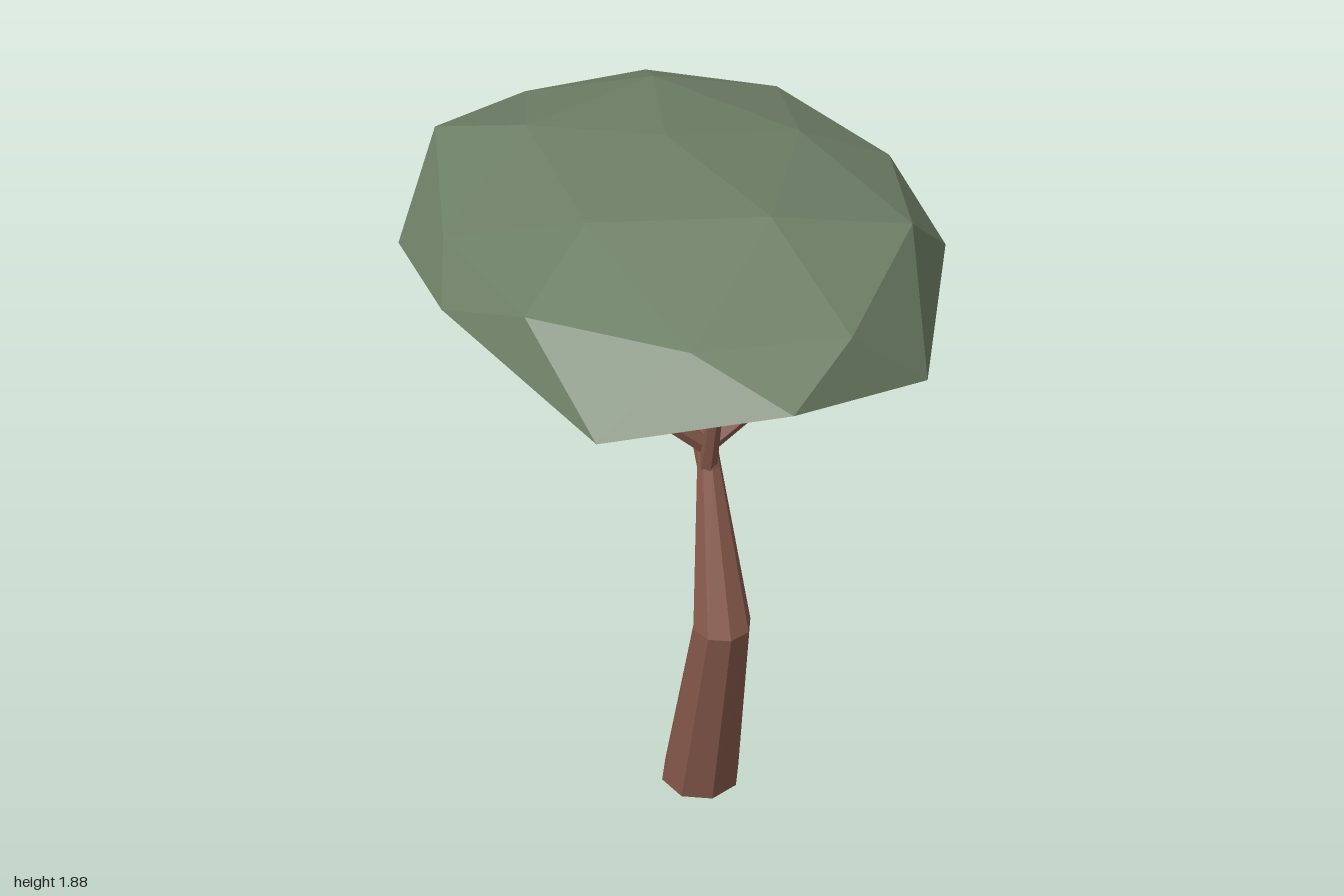
import * as THREE from 'three';

const bark = new THREE.MeshStandardMaterial({ color: 0x87594b, flatShading: true });
const leaf = new THREE.MeshStandardMaterial({ color: 0x6e7f66, flatShading: true });

function facetedMesh(name, positions, index, material) {
  const indexed = new THREE.BufferGeometry();
  indexed.setAttribute('position', new THREE.Float32BufferAttribute(positions, 3));
  indexed.setIndex(index);
  const geometry = indexed.toNonIndexed();
  geometry.computeVertexNormals();
  const mesh = new THREE.Mesh(geometry, material);
  mesh.name = name;
  return mesh;
}

// Tapered limb through points [x, y, z, radius], mitred at each bend
function limb(name, points, sides, flatBase = false) {
  const up = new THREE.Vector3(0, 1, 0);
  const centers = points.map(([x, y, z]) => new THREE.Vector3(x, y, z));
  const last = points.length - 1;
  const direction = (i) => centers[i + 1].clone().sub(centers[i]).normalize();
  const positions = [], index = [];
  points.forEach((p, i) => {
    const tangent = direction(Math.min(i, last - 1));
    if (i > 0 && i < last) tangent.add(direction(i - 1)).normalize();
    if (i === 0 && flatBase) tangent.copy(up);
    const turn = new THREE.Quaternion().setFromUnitVectors(up, tangent);
    for (let s = 0; s < sides; s++) {
      const a = (s / sides) * Math.PI * 2;
      const v = new THREE.Vector3(Math.sin(a) * p[3], 0, Math.cos(a) * p[3]);
      positions.push(...v.applyQuaternion(turn).add(centers[i]).toArray());
    }
  });
  for (let i = 0; i < last; i++) {
    for (let s = 0; s < sides; s++) {
      const a = i * sides + s, b = i * sides + (s + 1) % sides;
      index.push(a, b, b + sides, a, b + sides, a + sides);
    }
  }
  // End caps
  for (let s = 1; s < sides - 1; s++) {
    const t = last * sides;
    index.push(0, s + 1, s, t, t + s, t + s + 1);
  }
  return facetedMesh(name, positions, index, bark);
}

// Closed crown: a domed top and a shallower hollow underside sharing a ten-point rim
function canopy() {
  const positions = [], index = [];
  const ring = (radius, startDeg, heights) => {
    const first = positions.length / 3, n = heights.length;
    heights.forEach((y, i) => {
      const a = THREE.MathUtils.degToRad(startDeg + (i * 360) / n);
      positions.push(Math.sin(a) * radius * 0.682, y, Math.cos(a) * radius);
    });
    return (i) => first + (i % n);
  };
  const rim = ring(1, 0, [1.67, 1.57, 1.62, 1.49, 1.56, 1.47, 1.57, 1.495, 1.65, 1.545]);

  // One five-fold skin; rimStart is the first rim point beside its first outer point
  const skin = (startDeg, rimStart, poleY, innerY, outerY, betweenY, facesDown) => {
    const pole = ring(0, 0, [poleY])(0);
    const inner = ring(0.526, startDeg, innerY);
    const outer = ring(0.894, startDeg, outerY);
    const between = ring(0.851, startDeg + 36, betweenY);
    for (let k = 0; k < 5; k++) {
      const i0 = inner(k), i1 = inner(k + 1), o0 = outer(k), o1 = outer(k + 1), m = between(k);
      const [r0, r1, r2] = [0, 1, 2].map((j) => rim(rimStart + 2 * k + j));
      const faces = [
        [pole, i0, i1], [i0, m, i1], [i0, o0, m], [i1, m, o1],
        [o0, r0, r1], [o0, r1, m], [m, r1, r2], [m, r2, o1],
      ];
      for (const [a, b, c] of faces) index.push(a, ...(facesDown ? [c, b] : [b, c]));
    }
  };
  skin(18, 0, 1.87, [1.885, 1.83, 1.79, 1.79, 1.83], [1.75, 1.725, 1.64, 1.71, 1.73],
    [1.81, 1.71, 1.64, 1.67, 1.75], false);
  skin(54, 1, 1.77, [1.75, 1.71, 1.66, 1.71, 1.75], [1.67, 1.60, 1.55, 1.61, 1.67],
    [1.60, 1.56, 1.59, 1.66, 1.67], true);
  // Keep the left rear shoulder of the top low
  return facetedMesh('canopy', positions, index, leaf);
}

export function createModel() {
  const tree = new THREE.Group();
  tree.name = 'tree';

  tree.add(limb('trunk', [
    [0.003, 0, 0.345, 0.115], [0.005, 0.685, 0.51, 0.079], [0.005, 1.11, 0.378, 0.032], [0.003, 1.18, 0.37, 0.024],
  ], 8, true));

  // Main branches, then the twigs that split from them
  const branches = {
    frontBranch: [[0, 1.1, 0.38, 0.025], [0, 1.49, 0.49, 0.014], [0, 1.6, 0.6, 0.012], [0, 1.7, 0.66, 0.005]],
    middleBranch: [[0, 1.13, 0.37, 0.03], [0.005, 1.47, 0.305, 0.021], [0.005, 1.6, 0.21, 0.013], [0.005, 1.77, 0.16, 0.005]],
    rearBranch: [[0, 1.11, 0.37, 0.026], [0, 1.38, 0.1, 0.018], [0.01, 1.56, -0.03, 0.014], [0.01, 1.7, -0.1, 0.005]],
    leftBranch: [[0, 1.17, 0.37, 0.026], [0.17, 1.29, 0.365, 0.021], [0.25, 1.46, 0.365, 0.015], [0.29, 1.6, 0.37, 0.01], [0.31, 1.73, 0.37, 0.004]],
    rightBranch: [[0, 1.17, 0.37, 0.026], [-0.34, 1.47, 0.365, 0.014], [-0.38, 1.57, 0.37, 0.011], [-0.41, 1.7, 0.37, 0.004]],
  };
  const twigs = {
    rearTwig: [[0, 1.38, 0.1, 0.012], [0, 1.47, 0.135, 0.01], [0.01, 1.72, 0.135, 0.004]],
    middleTwig: [[0.005, 1.46, 0.305, 0.014], [0.01, 1.6, 0.27, 0.01], [0.015, 1.76, 0.26, 0.005]],
    leftInnerTwig: [[0.25, 1.45, 0.365, 0.01], [0.185, 1.57, 0.36, 0.009], [0.18, 1.73, 0.36, 0.003]],
    leftMiddleTwig: [[0.25, 1.45, 0.365, 0.008], [0.245, 1.58, 0.375, 0.006], [0.25, 1.7, 0.38, 0.003]],
  };
  for (const [name, points] of Object.entries(branches)) tree.add(limb(name, points, 6));
  for (const [name, points] of Object.entries(twigs)) tree.add(limb(name, points, 5));

  tree.add(canopy());
  return tree;
}
